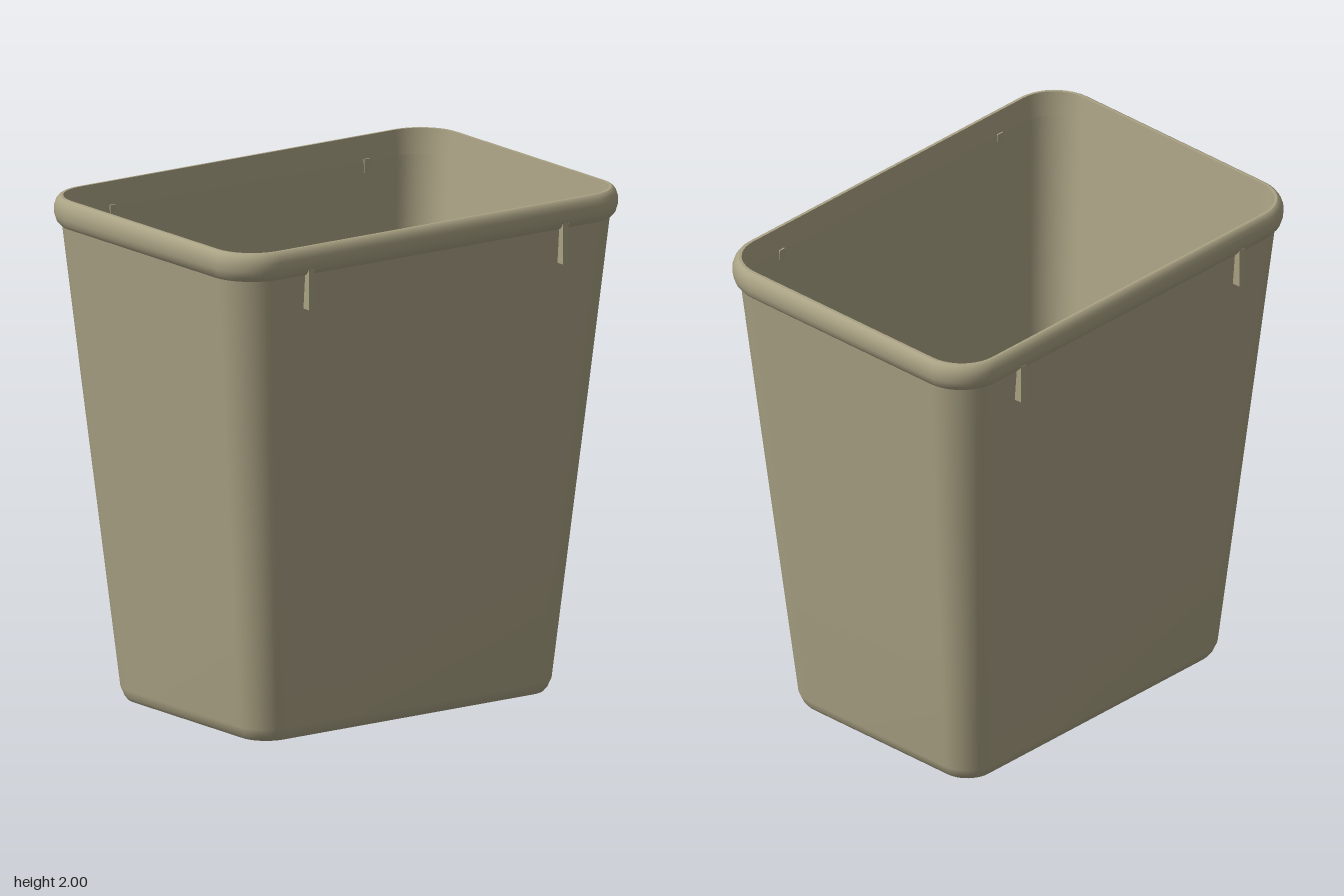
import * as THREE from 'three';

const CORNER_STEPS = 10;

// Rounded-rectangle ring at height y, with half sizes hx, hz and corner radius r
function ring([y, hx, hz, r]) {
  const points = [];
  [[1, 1], [-1, 1], [-1, -1], [1, -1]].forEach(([sx, sz], corner) => {
    for (let i = 0; i <= CORNER_STEPS; i++) {
      const a = (corner + i / CORNER_STEPS) * Math.PI / 2;
      points.push(sx * (hx - r) + r * Math.cos(a), y, sz * (hz - r) + r * Math.sin(a));
    }
  });
  return points;
}

// Smooth skin through a list of rings; outside lies to the right of the profile's direction
function loft(rings) {
  const n = 4 * (CORNER_STEPS + 1);
  const index = [];
  for (let j = 0; j < rings.length - 1; j++) {
    for (let i = 0; i < n; i++) {
      const a = j * n + i, b = j * n + (i + 1) % n;
      index.push(a, a + n, b, b, a + n, b + n);
    }
  }
  const geometry = new THREE.BufferGeometry();
  geometry.setAttribute('position', new THREE.Float32BufferAttribute(rings.flatMap(ring), 3));
  geometry.setIndex(index);
  geometry.computeVertexNormals();
  return geometry;
}

export function createModel() {
  const plastic = new THREE.MeshStandardMaterial({ color: 0xaaa284 });
  plastic.name = 'beige plastic';
  const group = new THREE.Group();
  group.name = 'wasteBin';
  const add = (name, geometry) => {
    const mesh = new THREE.Mesh(geometry, plastic);
    mesh.name = name;
    group.add(mesh);
    return mesh;
  };

  // Underside and inner floor
  add('underside', loft([[0, 0, 0, 0], [0, 0.71, 0.465, 0.11]]));
  add('floor', loft([[0.03, 0.695, 0.447, 0.11], [0.03, 0, 0, 0]]));

  // Tapered outer wall with a softened foot
  add('outerWall', loft([
    [0, 0.71, 0.465, 0.11], [0.015, 0.722, 0.477, 0.12], [0.05, 0.736, 0.491, 0.13],
    [0.6, 0.792, 0.536, 0.14], [1.25, 0.86, 0.589, 0.155], [1.9, 0.926, 0.642, 0.17],
  ]));

  // Inner wall, from the rim down to the floor
  add('innerWall', loft([
    [1.9, 0.907, 0.624, 0.15], [1.25, 0.837, 0.568, 0.14],
    [0.6, 0.765, 0.506, 0.125], [0.03, 0.695, 0.447, 0.11],
  ]));

  // Rolled rim: underside, bulging outer face, narrow top and inner lip
  add('rimUnderside', loft([[1.888, 0.915, 0.632, 0.16], [1.888, 0.932, 0.648, 0.175]]));
  add('rim', loft([
    [1.888, 0.932, 0.648, 0.175], [1.905, 0.946, 0.662, 0.188], [1.93, 0.954, 0.669, 0.195],
    [1.96, 0.955, 0.67, 0.195], [1.982, 0.948, 0.664, 0.19], [1.995, 0.939, 0.655, 0.182],
    [2, 0.93, 0.647, 0.172],
  ]));
  add('rimTop', loft([[2, 0.93, 0.647, 0.172], [2, 0.918, 0.637, 0.162]]));
  add('rimInnerLip', loft([[2, 0.918, 0.637, 0.162], [1.9, 0.907, 0.624, 0.15]]));

  // Small ribs under the rim, front and back
  for (const side of [1, -1]) {
    for (const x of [-0.61, 0.61]) {
      add(side > 0 ? 'frontRib' : 'backRib', new THREE.BoxGeometry(0.028, 0.16, 0.045))
        .position.set(x, 1.83, side * 0.642);
    }
  }
  return group;
}
